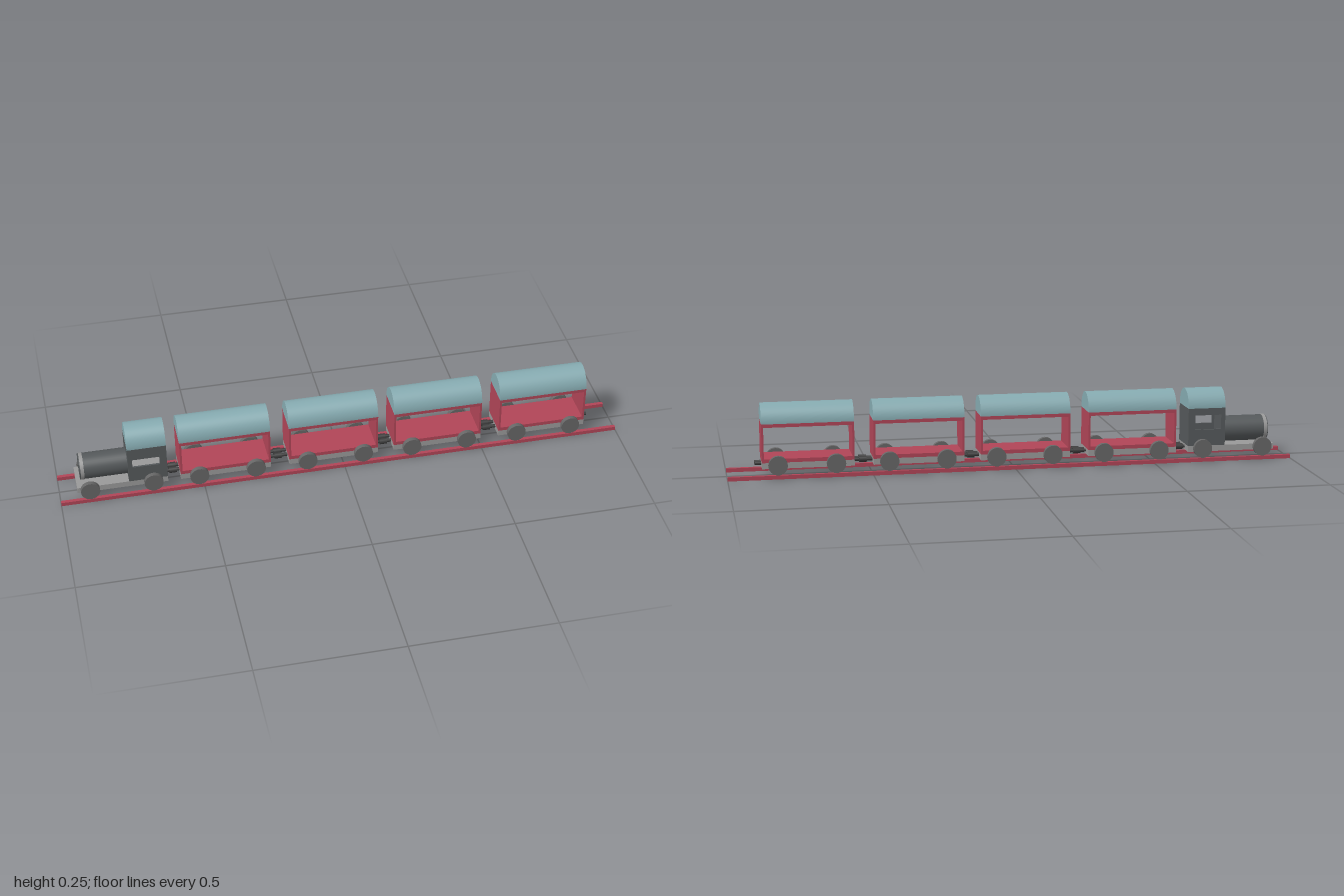
import * as THREE from 'three';

const mat = (color) => new THREE.MeshStandardMaterial({ color });
const RED = mat(0xb04557), TEAL = mat(0x86abb1), GREY = mat(0x999999);
const DARK = mat(0x55595b), WHEEL = mat(0x666666), BLACK = mat(0x3c3c3c);
const HALF = 0.06; // half width of every vehicle

function add(parent, name, geo, material, x = 0, y = 0, z = 0) {
  const mesh = new THREE.Mesh(geo, material);
  mesh.name = name;
  mesh.position.set(x, y, z);
  parent.add(mesh);
  return mesh;
}

// Box given by its limits along x and y, centred on z
function slab(parent, name, material, x0, x1, y0, y1, depth = HALF * 2, z = 0) {
  return add(parent, name, new THREE.BoxGeometry(x1 - x0, y1 - y0, depth), material,
    (x0 + x1) / 2, (y0 + y1) / 2, z);
}

// Cylinder lying along x
function rod(parent, name, material, x0, x1, radius, y, z = 0, sides = 20) {
  const geo = new THREE.CylinderGeometry(radius, radius, x1 - x0, sides).rotateZ(Math.PI / 2);
  return add(parent, name, geo, material, (x0 + x1) / 2, y, z);
}

// Closed half-round roof
function roof(parent, x0, x1) {
  const shape = new THREE.Shape();
  shape.absellipse(0, 0, HALF, 0.065, 0, Math.PI, false);
  shape.closePath();
  const geo = new THREE.ExtrudeGeometry(shape, { depth: x1 - x0, bevelEnabled: false, curveSegments: 32 });
  geo.rotateY(Math.PI / 2);
  add(parent, 'roof', geo, TEAL, x0, 0.19, 0);
}

// Two wheels and their axle
function wheelPair(parent, x) {
  const g = new THREE.Group();
  g.name = 'wheelPair';
  g.position.set(x, 0.047, 0);
  parent.add(g);
  for (const s of [-1, 1]) {
    const geo = new THREE.CylinderGeometry(0.033, 0.033, 0.016, 32).rotateX(Math.PI / 2);
    add(g, 'wheel', geo, WHEEL, 0, 0, s * 0.0695);
  }
  add(g, 'axle', new THREE.CylinderGeometry(0.006, 0.006, 0.13, 12).rotateX(Math.PI / 2), WHEEL);
}

// Twin rods, with thicker joints where two vehicles meet
function coupling(parent, x0, x1, joined = true) {
  const g = new THREE.Group();
  g.name = 'coupling';
  parent.add(g);
  const mid = (x0 + x1) / 2;
  for (const z of [-0.01, 0.016]) {
    rod(g, 'couplingRod', BLACK, x0, x1, 0.006, 0.045, z);
    if (joined) rod(g, 'couplingJoint', BLACK, mid - 0.013, mid + 0.013, 0.0105, 0.045, z);
  }
}

function carriage(parent, x) {
  const g = new THREE.Group();
  g.name = 'carriage';
  g.position.x = x;
  parent.add(g);
  const h = 0.159;
  slab(g, 'chassis', GREY, -h, h, 0.034, 0.055);
  slab(g, 'floor', RED, -h, h, 0.055, 0.068);
  slab(g, 'ceiling', RED, -h, h, 0.178, 0.19);
  slab(g, 'frontWall', RED, -h, -h + 0.007, 0.068, 0.178);
  slab(g, 'rearWall', RED, h - 0.007, h, 0.068, 0.178);
  roof(g, -h, h);
  wheelPair(g, -0.095);
  wheelPair(g, 0.105);
}

function locomotive(parent) {
  const g = new THREE.Group();
  g.name = 'locomotive';
  parent.add(g);
  slab(g, 'chassis', GREY, -0.94, -0.625, 0.034, 0.055);

  // Boiler with a pale band at its front
  rod(g, 'boiler', DARK, -0.925, -0.76, 0.0455, 0.103, 0, 40);
  rod(g, 'boilerBand', GREY, -0.922, -0.91, 0.047, 0.103, 0, 40);

  // Hollow cab with a window in each side
  const x0 = -0.76, x1 = -0.625, t = 0.007;
  const side = new THREE.Shape([[x0, 0.055], [x1, 0.055], [x1, 0.19], [x0, 0.19]]
    .map(([x, y]) => new THREE.Vector2(x, y)));
  side.holes.push(new THREE.Path([[-0.745, 0.113], [-0.745, 0.165], [-0.65, 0.165], [-0.65, 0.113]]
    .map(([x, y]) => new THREE.Vector2(x, y))));
  for (const z of [-HALF, HALF - t]) {
    add(g, 'cabSide', new THREE.ExtrudeGeometry(side, { depth: t, bevelEnabled: false }), DARK, 0, 0, z);
  }
  const inner = 2 * (HALF - t);
  slab(g, 'cabFront', DARK, x0, x0 + t, 0.055, 0.19, inner);
  slab(g, 'cabBack', DARK, x1 - t, x1, 0.055, 0.19, inner);
  slab(g, 'cabCeiling', DARK, x0 + t, x1 - t, 0.182, 0.19, inner);
  roof(g, x0, x1);
  wheelPair(g, -0.896);
  wheelPair(g, -0.676);
}

export function createModel() {
  const train = new THREE.Group();
  train.name = 'train';
  for (const s of [-1, 1]) slab(train, 'rail', RED, -1, 1, 0, 0.0135, 0.013, s * 0.0705);
  locomotive(train);

  // Carriages, each coupled to the vehicle ahead
  let rear = -0.625;
  for (const x of [-0.421, -0.037, 0.339, 0.723]) {
    carriage(train, x);
    coupling(train, rear, x - 0.159);
    rear = x + 0.159;
  }
  coupling(train, rear, 0.905, false);
  return train;
}
